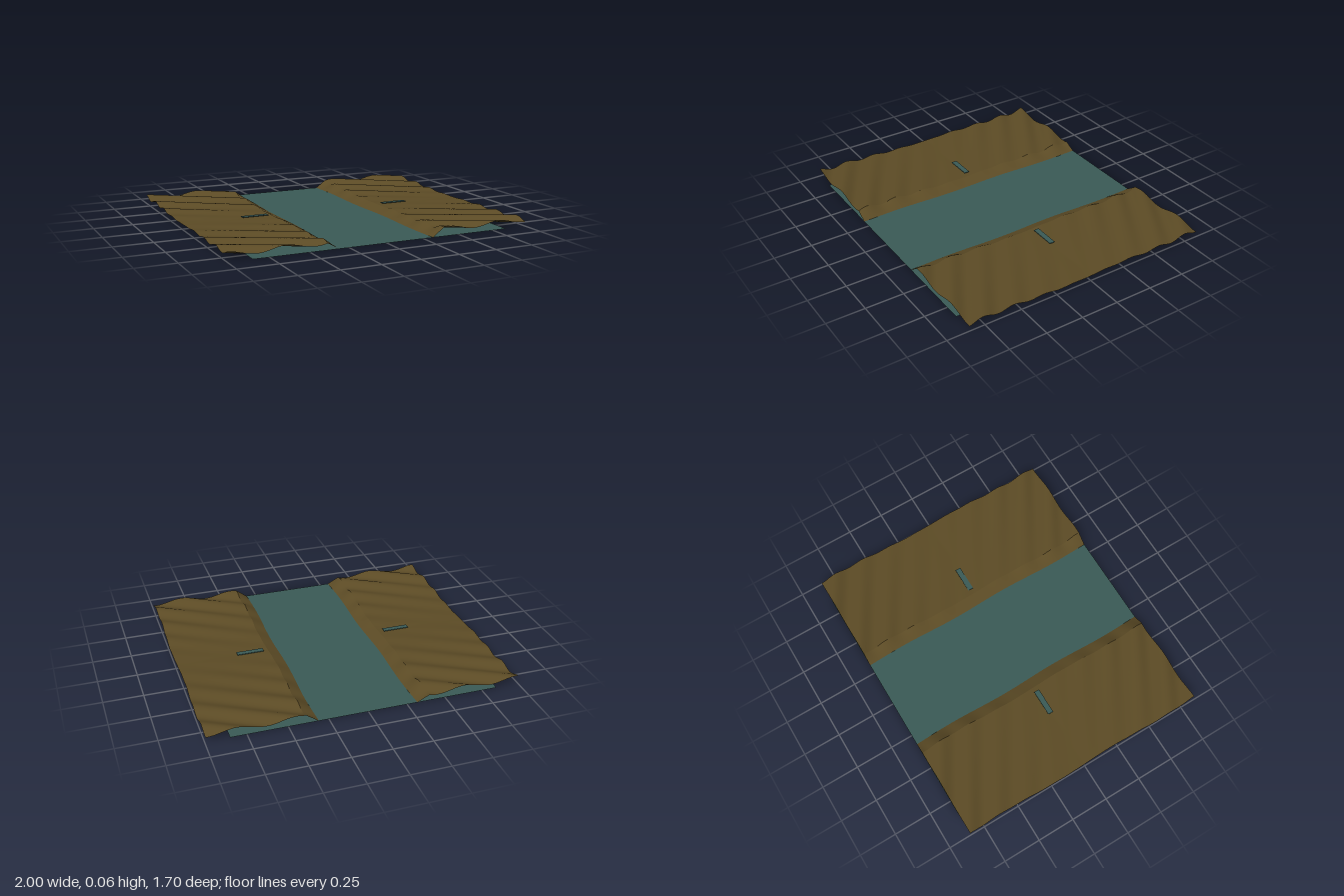
import * as THREE from 'three';

const HALF = 0.85; // half depth of the land and half size of the water sheet

// gentle sideways meander of the banks
const meander = (z) => 0.005 * Math.sin(z * 8);

// flat in the middle, diagonal ripples that grow towards both ends
const landHeight = (x, z) =>
  0.03 + 0.015 * (Math.abs(z) / HALF) * (1 + Math.cos(17.5 * x - 29.4 * z - 1.47));

// strip of ground between x0 and x1, shaped by a height rule
function strip(name, x0, x1, columns, height, material) {
  const geometry = new THREE.PlaneGeometry(x1 - x0, HALF * 2, columns, 100);
  geometry.rotateX(-Math.PI / 2).translate((x0 + x1) / 2, 0, 0);
  const p = geometry.attributes.position;
  for (let i = 0; i < p.count; i++) {
    const x = p.getX(i), z = p.getZ(i);
    p.setXYZ(i, x + meander(z), height(x, z), z);
  }
  geometry.computeVertexNormals();
  const mesh = new THREE.Mesh(geometry, material);
  mesh.name = name;
  return mesh;
}

export function createModel() {
  const model = new THREE.Group();
  model.name = 'riverLand';

  const earth = new THREE.MeshStandardMaterial({ color: 0x5c4b25, side: THREE.DoubleSide });
  earth.name = 'brown earth';
  const teal = new THREE.MeshStandardMaterial({ color: 0x3a5a56, side: THREE.DoubleSide });
  teal.name = 'teal water';

  // water sheet running under both banks
  const water = new THREE.Mesh(new THREE.PlaneGeometry(HALF * 2, HALF * 2).rotateX(-Math.PI / 2), teal);
  water.name = 'water';
  model.add(water);

  const shore = 0.315, brink = 0.39, outer = 0.995;
  for (const side of [-1, 1]) {
    const label = side > 0 ? 'left' : 'right';
    const span = (a, b) => (side > 0 ? [a, b] : [-b, -a]);

    // rippled upper ground
    model.add(strip(label + 'Bank', ...span(brink, outer), 40, landHeight, earth));

    // slope from the brink down to the water
    const slope = (x, z) =>
      landHeight(side * brink, z) * (Math.abs(x) - shore) / (brink - shore);
    model.add(strip(label + 'Shore', ...span(shore, brink), 2, slope, earth));

    // narrow pool lying on the ground
    const pool = new THREE.Mesh(new THREE.BoxGeometry(0.175, 0.004, 0.036), teal);
    pool.name = label + 'Pool';
    pool.position.set(side * 0.51, 0.038, -0.005);
    model.add(pool);
  }
  return model;
}
